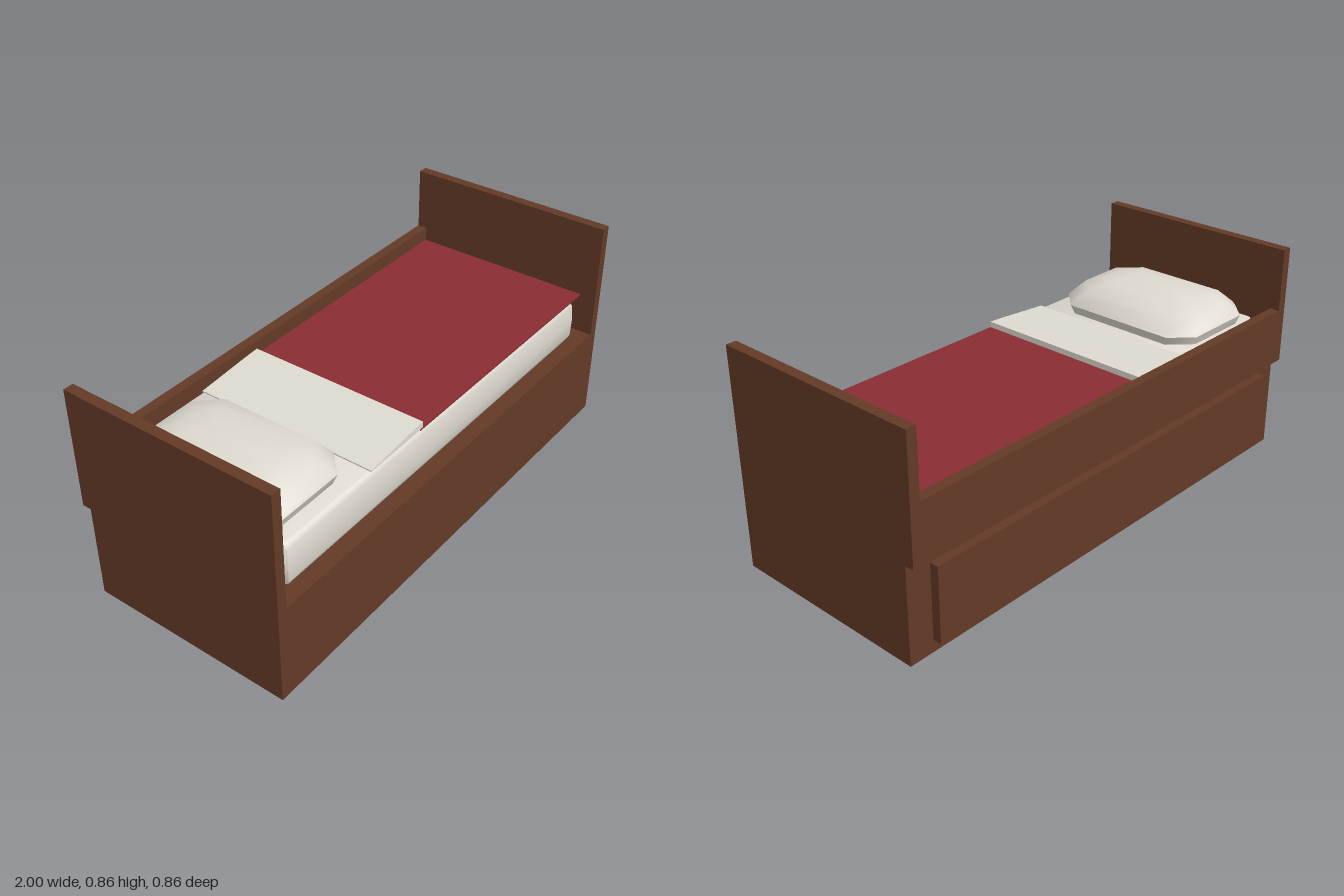
import * as THREE from 'three';
import { toCreasedNormals } from 'three/addons/utils/BufferGeometryUtils.js';

const material = (name, color, side = THREE.FrontSide) => {
  const m = new THREE.MeshStandardMaterial({ color, side });
  m.name = name;
  return m;
};

// Stack of chamfered rectangles; rings are [y, inset], closed at both ends.
function cushion(x0, x1, z0, z1, chamfer, rings, crease) {
  const pos = [], idx = [], n = 8;
  const cx = (x0 + x1) / 2, cz = (z0 + z1) / 2;
  for (const [y, inset] of rings) {
    const a = (x1 - x0) / 2 - inset, b = (z1 - z0) / 2 - inset;
    const c = Math.min(chamfer, a * 0.5, b * 0.5);
    const ring = [[a, -b + c], [a, b - c], [a - c, b], [c - a, b],
      [-a, b - c], [-a, c - b], [c - a, -b], [a - c, -b]];
    for (const [x, z] of ring) pos.push(cx + x, y, cz + z);
  }
  const last = rings.length - 1;
  for (let r = 0; r < last; r++) {
    for (let i = 0; i < n; i++) {
      const a = r * n + i, b = r * n + (i + 1) % n;
      idx.push(a, a + n, b, b, a + n, b + n);
    }
  }
  const bottom = rings.length * n, top = bottom + 1;
  pos.push(cx, rings[0][0], cz, cx, rings[last][0], cz);
  for (let i = 0; i < n; i++) {
    const j = (i + 1) % n;
    idx.push(bottom, i, j, top, last * n + j, last * n + i);
  }
  const g = new THREE.BufferGeometry();
  g.setAttribute('position', new THREE.Float32BufferAttribute(pos, 3));
  g.setIndex(idx);
  return toCreasedNormals(g, crease);
}

export function createModel() {
  const bed = new THREE.Group();
  bed.name = 'bed';
  const wood = material('brown wood', 0x633a26);
  const linen = material('off-white linen', 0xdedad0);
  const red = material('red blanket cloth', 0x8a2e33);

  const add = (name, geometry, mat) => {
    const mesh = new THREE.Mesh(geometry, mat);
    mesh.name = name;
    bed.add(mesh);
    return mesh;
  };
  // Box given by its limits on each axis
  const box = (name, mat, x0, x1, y0, y1, z0, z1) =>
    add(name, new THREE.BoxGeometry(x1 - x0, y1 - y0, z1 - z0), mat)
      .position.set((x0 + x1) / 2, (y0 + y1) / 2, (z0 + z1) / 2);

  // Hollow base, open underneath
  const t = 0.005;
  box('frontPanel', wood, -1, 1, 0, 0.38, 0.428 - t, 0.428);
  box('backPanel', wood, -1, 1, 0, 0.38, -0.392, -0.392 + t);
  box('leftBasePanel', wood, 1 - t, 1, 0, 0.38, -0.392 + t, 0.428 - t);
  box('rightBasePanel', wood, -1, -1 + t, 0, 0.38, -0.392 + t, 0.428 - t);
  box('deck', wood, -1 + t, 1 - t, 0.38 - t, 0.38, -0.392 + t, 0.428 - t);

  // Head and foot boards with the rail along the back
  box('headboard', wood, -1, -0.96, 0.38, 0.857, -0.428, 0.428);
  box('footboard', wood, 0.96, 1, 0.38, 0.857, -0.428, 0.428);
  box('backRail', wood, -0.96, 0.96, 0.38, 0.605, -0.428, -0.388);
  box('drawerFront', wood, -0.9, 0.9, 0.048, 0.343, -0.427, -0.392);

  // Mattress with softened upper and lower edges
  add('mattress', cushion(-0.955, 0.952, -0.387, 0.376, 0.07, [
    [0.38, 0.012], [0.4, 0.002], [0.47, 0], [0.535, 0.004], [0.55, 0.01], [0.556, 0.02],
  ], 0.75), linen);

  // Blanket and the turned-down sheet, which rises towards its fold
  box('blanket', red, -0.17, 0.94, 0.553, 0.561, -0.376, 0.37);
  const fold = new THREE.Shape([[-0.45, 0.556], [-0.155, 0.558], [-0.155, 0.584],
    [-0.22, 0.58], [-0.45, 0.561]].map(([x, y]) => new THREE.Vector2(x, y)));
  const foldGeometry = new THREE.ExtrudeGeometry(fold, { depth: 0.746, bevelEnabled: false });
  foldGeometry.translate(0, 0, -0.376);
  add('turnedDownSheet', foldGeometry, linen);

  // Domed pillow
  add('pillow', cushion(-0.932, -0.478, -0.322, 0.318, 0.082, [
    [0.556, 0.012], [0.592, 0], [0.605, 0.008], [0.652, 0.05], [0.672, 0.12], [0.685, 0.2],
  ], 0.8), linen);

  return bed;
}
